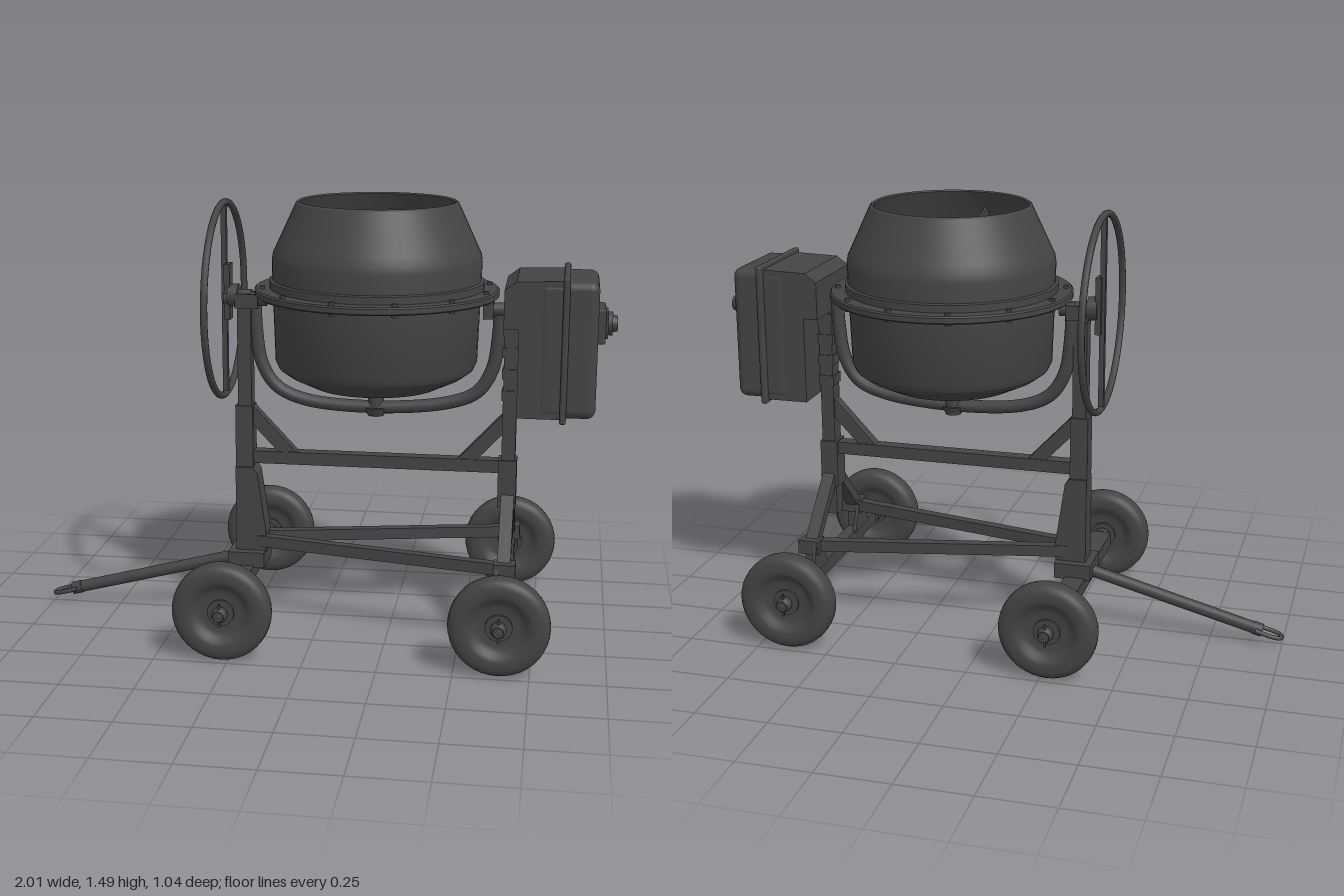
import * as THREE from 'three';
import { toCreasedNormals } from 'three/addons/utils/BufferGeometryUtils.js';
import { RoundedBoxGeometry } from 'three/addons/geometries/RoundedBoxGeometry.js';

const paint = new THREE.MeshStandardMaterial({ color: 0x444444 });
const sheet = new THREE.MeshStandardMaterial({ color: 0x444444, side: THREE.DoubleSide });
const V = (x, y, z) => new THREE.Vector3(x, y, z);

export function createModel() {
  const model = new THREE.Group();
  model.name = 'cementMixer';

  const add = (name, geo, x = 0, y = 0, z = 0, parent = model, mat = paint) => {
    const m = new THREE.Mesh(geo, mat);
    m.name = name;
    m.position.set(x, y, z);
    parent.add(m);
    return m;
  };
  const box = (name, x0, x1, y0, y1, z0, z1, parent) =>
    add(name, new THREE.BoxGeometry(x1 - x0, y1 - y0, z1 - z0), (x0 + x1) / 2, (y0 + y1) / 2, (z0 + z1) / 2, parent);
  // Rectangular bar between two points: w is its level width, h its depth
  const beam = (name, a, b, w, h) => {
    const m = add(name, new THREE.BoxGeometry(w, h, a.distanceTo(b)));
    m.position.copy(a).lerp(b, 0.5);
    m.lookAt(b);
    return m;
  };
  // Cylinder along the x, y or z axis
  const rod = (name, axis, r, len, x, y, z, parent = model, r2 = r) => {
    const g = new THREE.CylinderGeometry(r2, r, len, 24);
    if (axis === 'x') g.rotateZ(-Math.PI / 2);
    if (axis === 'z') g.rotateX(Math.PI / 2);
    return add(name, g, x, y, z, parent);
  };
  const lathe = (pts, seg, crease = 0.5) =>
    toCreasedNormals(new THREE.LatheGeometry(pts.map(p => new THREE.Vector2(...p)), seg), crease);
  // Flat outline in x and y, thickened evenly about z = 0
  const plate = (pts, depth) => {
    const g = new THREE.ExtrudeGeometry(new THREE.Shape(pts.map(p => new THREE.Vector2(...p))), { depth, bevelEnabled: false });
    return g.translate(0, 0, -depth / 2);
  };

  // Drum, open at the top
  const drum = new THREE.Group();
  drum.name = 'drum';
  drum.position.set(0.185, 0, -0.008);
  model.add(drum);
  add('drumShell', lathe([[0, 0.845], [0.17, 0.847], [0.22, 0.857], [0.3, 0.895], [0.335, 0.92], [0.347, 0.945],
    [0.355, 1.18], [0.358, 1.29], [0.354, 1.315], [0.34, 1.345], [0.275, 1.485], [0.268, 1.49], [0.262, 1.485],
    [0.33, 1.34], [0.346, 1.29], [0.344, 1.18], [0.336, 0.95], [0.29, 0.905], [0.2, 0.865], [0, 0.857]], 64), 0, 0, 0, drum, sheet);
  add('drumFlange', lathe([[0.35, 1.17], [0.412, 1.17], [0.418, 1.175], [0.418, 1.192], [0.412, 1.197], [0.35, 1.197]], 64), 0, 0, 0, drum);
  add('drumSeam', lathe([[0.35, 1.197], [0.366, 1.197], [0.366, 1.222], [0.35, 1.228]], 64), 0, 0, 0, drum);
  for (let i = 0; i < 12; i++) {
    const a = (i + 0.5) * Math.PI / 6;
    rod('flangeBolt', 'y', 0.01, 0.045, 0.392 * Math.cos(a), 1.183, 0.392 * Math.sin(a), drum);
  }
  rod('drumBearing', 'y', 0.045, 0.03, 0, 0.832, 0, drum, 0.07);
  rod('drumPivot', 'y', 0.028, 0.09, 0, 0.79, 0, drum);
  // Mixing paddles on opposite walls
  for (const [turn, name] of [[Math.PI / 2 - 0.05, 'backPaddle'], [-Math.PI / 2 - 0.15, 'frontPaddle']]) {
    const p = add(name, plate([[0.335, 0.96], [0.345, 1.3], [0.285, 1.43], [0.2, 1.38], [0.2, 1.25], [0.26, 1.0]], 0.01), 0, 0, 0, drum);
    p.rotation.y = turn;
  }

  // Tilting yoke under the drum
  const yoke = new THREE.CatmullRomCurve3([[-0.238, 1.14], [-0.234, 1.04], [-0.215, 0.92], [-0.165, 0.84], [-0.07, 0.795],
    [0.185, 0.775], [0.44, 0.8], [0.535, 0.84], [0.585, 0.92], [0.604, 1.04], [0.608, 1.14]].map(p => V(p[0], p[1], -0.005)));
  add('yoke', new THREE.TubeGeometry(yoke, 80, 0.023, 12));
  rod('yokeCrown', 'y', 0.03, 0.025, 0.185, 0.762, -0.005, model, 0.04);
  rod('leftTrunnion', 'x', 0.024, 0.15, -0.27, 1.145, 0);
  rod('rightTrunnion', 'x', 0.024, 0.12, 0.63, 1.13, 0);
  box('rightTrunnionBlock', 0.55, 0.585, 1.1, 1.17, -0.03, 0.03);

  // Tilting handwheel
  const hand = new THREE.Group();
  hand.name = 'handwheel';
  hand.position.set(-0.345, 1.14, -0.008);
  model.add(hand);
  add('handwheelRim', new THREE.TorusGeometry(0.335, 0.012, 10, 64).rotateY(Math.PI / 2), 0, 0, 0, hand);
  box('handwheelSpoke', -0.009, 0.009, -0.335, 0.335, -0.012, 0.012, hand);
  box('spokePlate', 0.002, 0.022, -0.07, 0.125, -0.026, 0.026, hand);
  rod('handwheelHub', 'x', 0.04, 0.035, 0.032, 0.015, 0, hand);
  rod('handwheelShaft', 'x', 0.026, 0.06, 0.065, 0.01, 0, hand);

  // Left post with its tapered foot
  box('leftPostUpper', -0.296, -0.248, 0.7, 1.16, -0.028, 0.028);
  box('leftPostLower', -0.305, -0.243, 0.2, 0.77, -0.034, 0.034);
  box('leftPostHead', -0.302, -0.222, 1.115, 1.165, -0.036, 0.036);
  add('leftPostFoot', plate([[-0.305, 0.24], [-0.198, 0.24], [-0.198, 0.32], [-0.228, 0.53], [-0.243, 0.55], [-0.305, 0.55]], 0.085));
  box('leftPostBase', -0.33, -0.2, 0.19, 0.245, -0.075, 0.075);

  // Right post and sleeve
  box('rightPost', 0.625, 0.672, 0.33, 1.1, -0.03, 0.03);
  box('rightPostSleeve', 0.615, 0.678, 0.44, 0.61, -0.037, 0.037);
  for (let i = 0; i < 4; i++) box('rightPostClip', 0.62, 0.678, 0.82 + i * 0.075, 0.855 + i * 0.075, -0.034, 0.034);

  // Cross beam with corner braces
  box('crossBeam', -0.26, 0.64, 0.562, 0.606, -0.024, 0.024);
  add('leftBrace', plate([[-0.245, 0.77], [-0.245, 0.7], [-0.15, 0.6], [-0.085, 0.6]], 0.04));
  add('rightBrace', plate([[0.628, 0.77], [0.47, 0.6], [0.535, 0.6], [0.628, 0.7]], 0.04));

  // Splayed legs, floor rails and foot gussets
  for (const s of [1, -1]) {
    beam('splayedLeg', V(0.65, 0.475, s * 0.025), V(0.65, 0.285, s * 0.215), 0.045, 0.036);
    beam('floorRail', V(-0.24, 0.28, s * 0.025), V(0.655, 0.28, s * 0.215), 0.035, 0.04);
    box('legFoot', 0.628, 0.672, 0.19, 0.3, s * 0.215 - 0.017, s * 0.215 + 0.017);
    box('railBracket', 0.615, 0.69, 0.255, 0.305, s * 0.22 - 0.03, s * 0.22 + 0.03);
    const pts = [[-0.07, 0.19], [0.07, 0.19], [0.03, 0.3], [-0.02, 0.3]];
    const gusset = add('footGusset', plate(pts, 0.012), 0.628, 0, s * 0.215);
    gusset.rotation.y = -s * Math.PI / 2;
  }

  // Axles
  box('leftAxle', -0.31, -0.238, 0.145, 0.197, -0.38, 0.38);
  box('rightAxle', 0.627, 0.672, 0.145, 0.195, -0.38, 0.38);

  // Wheels
  const half = [[0.04, 0.016], [0.07, 0.016], [0.088, 0.022], [0.1, 0.036], [0.115, 0.04], [0.14, 0.04], [0.158, 0.034], [0.166, 0.022], [0.168, 0.008]];
  const wheelGeo = lathe([...half.map(([r, y]) => [r, -y]), ...half.slice().reverse()], 40, 0.7).rotateX(Math.PI / 2);
  for (const x of [-0.272, 0.648]) {
    for (const s of [1, -1]) {
      const wheel = new THREE.Group();
      wheel.name = 'wheel';
      wheel.position.set(x, 0.168, s * 0.452);
      model.add(wheel);
      add('tyre', wheelGeo, 0, 0, 0, wheel);
      rod('wheelHub', 'z', 0.045, 0.05, 0, 0, 0, wheel);
      rod('stubAxle', 'z', 0.018, 0.15, 0, 0, -s * 0.01, wheel);
      rod('innerCollar', 'z', 0.032, 0.03, 0, 0, -s * 0.055, wheel);
      add('hubCap', new THREE.SphereGeometry(0.027, 20, 12), 0, 0, s * 0.04, wheel);
      box('splitPin', -0.004, 0.004, -0.04, 0.04, s * 0.05 - 0.004, s * 0.05 + 0.004, wheel);
    }
  }

  // Tow bar with a pulling eye
  const tow = new THREE.Group();
  tow.name = 'towBar';
  tow.position.set(-0.27, 0.218, -0.008);
  tow.rotation.z = Math.atan2(0.172, 0.66);
  model.add(tow);
  rod('towTube', 'x', 0.021, 0.68, -0.34, 0, 0, tow);
  const eye = new THREE.CatmullRomCurve3([[-0.66, -0.024], [-0.72, -0.025], [-0.745, -0.017], [-0.753, 0],
    [-0.745, 0.017], [-0.72, 0.025], [-0.66, 0.024]].map(([x, z]) => V(x, 0, z)));
  add('towEye', new THREE.TubeGeometry(eye, 32, 0.008, 8), 0, 0, 0, tow);
  rod('towCollar', 'x', 0.023, 0.035, -0.665, 0, 0, tow);

  // Motor housing, cover and switch
  const motor = new THREE.Group();
  motor.name = 'motorUnit';
  motor.position.z = -0.004;
  model.add(motor);
  add('motorHousing', plate([[0.675, 0.79], [0.83, 0.79], [0.83, 1.255], [0.665, 1.25], [0.625, 1.22], [0.625, 1.09], [0.675, 1.09]], 0.31), 0, 0, 0, motor);
  add('housingFlange', new RoundedBoxGeometry(0.022, 0.492, 0.352, 3, 0.008), 0.828, 1.023, 0, motor);
  add('motorCover', new RoundedBoxGeometry(0.2, 0.462, 0.314, 5, 0.03), 0.835, 1.022, 0, motor);
  add('switchPanel', new RoundedBoxGeometry(0.03, 0.118, 0.152, 3, 0.006), 0.945, 1.092, 0, motor);
  box('switchPlate', 0.955, 0.968, 1.05, 1.135, -0.06, 0.06, motor);
  rod('switchCollar', 'x', 0.04, 0.02, 0.973, 1.092, 0, motor);
  rod('switchButton', 'x', 0.032, 0.03, 0.985, 1.092, 0, motor, 0.026);

  return model;
}
